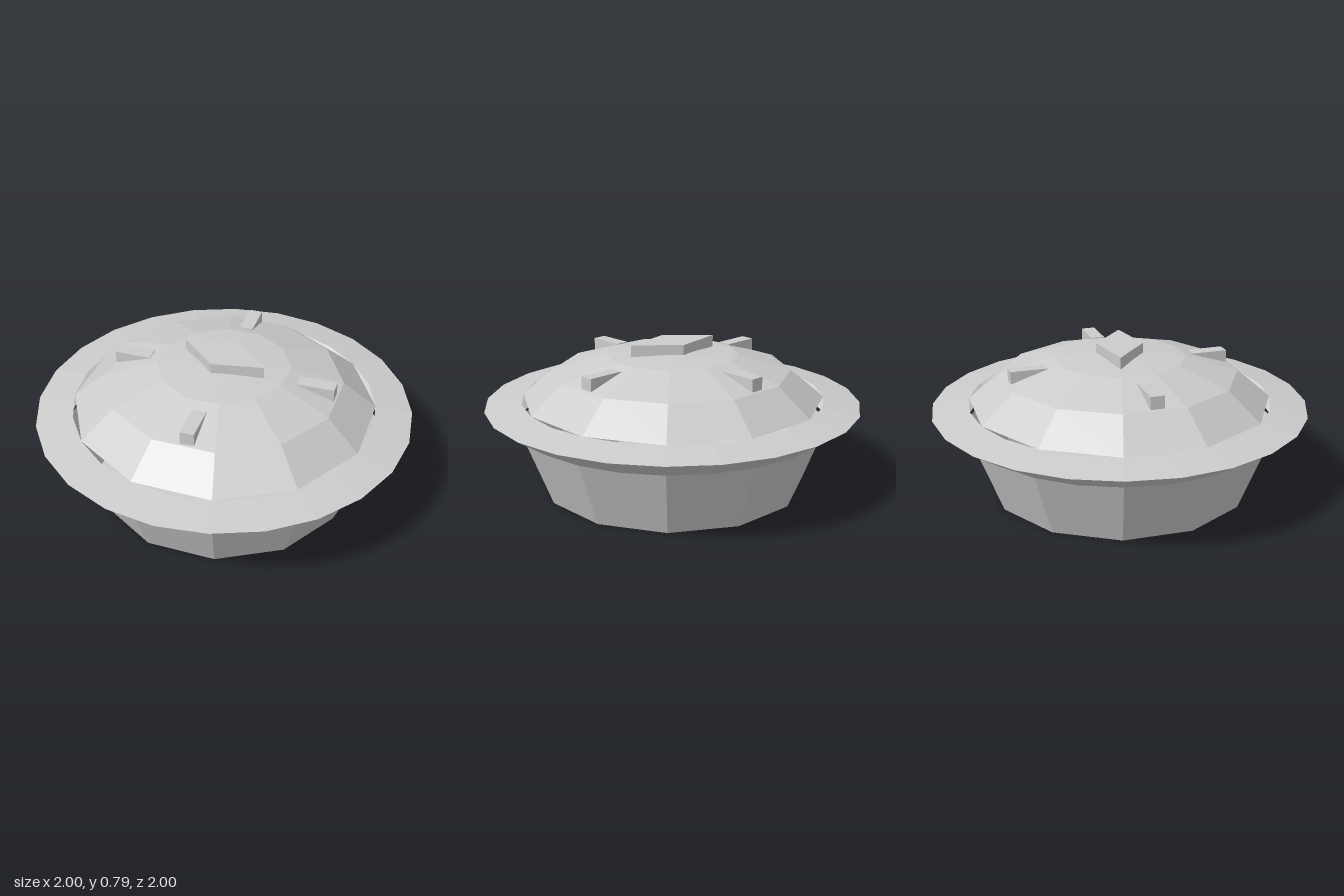
import * as THREE from 'three';

export function createModel() {
  const model = new THREE.Group();
  model.name = 'pie';

  const grey = new THREE.MeshStandardMaterial({
    color: 0xcccccc, flatShading: true, side: THREE.DoubleSide,
  });
  grey.name = 'plain grey';

  const add = (name, geometry, parent = model) => {
    const mesh = new THREE.Mesh(geometry, grey);
    mesh.name = name;
    parent.add(mesh);
    return mesh;
  };

  // Profiles run from bottom to top so that faces point outwards
  const lathe = (points, sides) =>
    new THREE.LatheGeometry(points.map(([r, y]) => new THREE.Vector2(r, y)), sides);

  // Twelve-sided dish, open at the top
  add('dish', lathe([[0, 0], [0.7, 0], [0.84, 0.355]], 12));

  // Finer, open crust rim that overhangs the dish
  add('rim', lathe([[0.84, 0.355], [1, 0.46], [0.805, 0.49]], 24));

  // Domed crust lid
  add('lid', lathe([[0.805, 0.49], [0.628, 0.635], [0.35, 0.72], [0, 0.748]], 12));

  // Diamond on the middle of the lid
  const diamond = new THREE.Shape([[0.245, 0], [0, 0.123], [-0.245, 0], [0, -0.123]]
    .map(([x, y]) => new THREE.Vector2(x, y)));
  const diamondGeometry = new THREE.ExtrudeGeometry(diamond, { depth: 0.062, bevelEnabled: false });
  diamondGeometry.rotateX(-Math.PI / 2);
  add('diamond', diamondGeometry).position.y = 0.73;

  // Four slats, half sunk into the lid and turned round the centre
  const slat = new THREE.BoxGeometry(0.073, 0.068, 0.195);
  for (let i = 0; i < 4; i++) {
    const pivot = new THREE.Group();
    pivot.name = 'slatPivot' + (i + 1);
    pivot.rotation.y = THREE.MathUtils.degToRad(16.5) + i * Math.PI / 2;
    add('slat' + (i + 1), slat, pivot).position.set(0, 0.671, -0.498);
    model.add(pivot);
  }

  return model;
}
